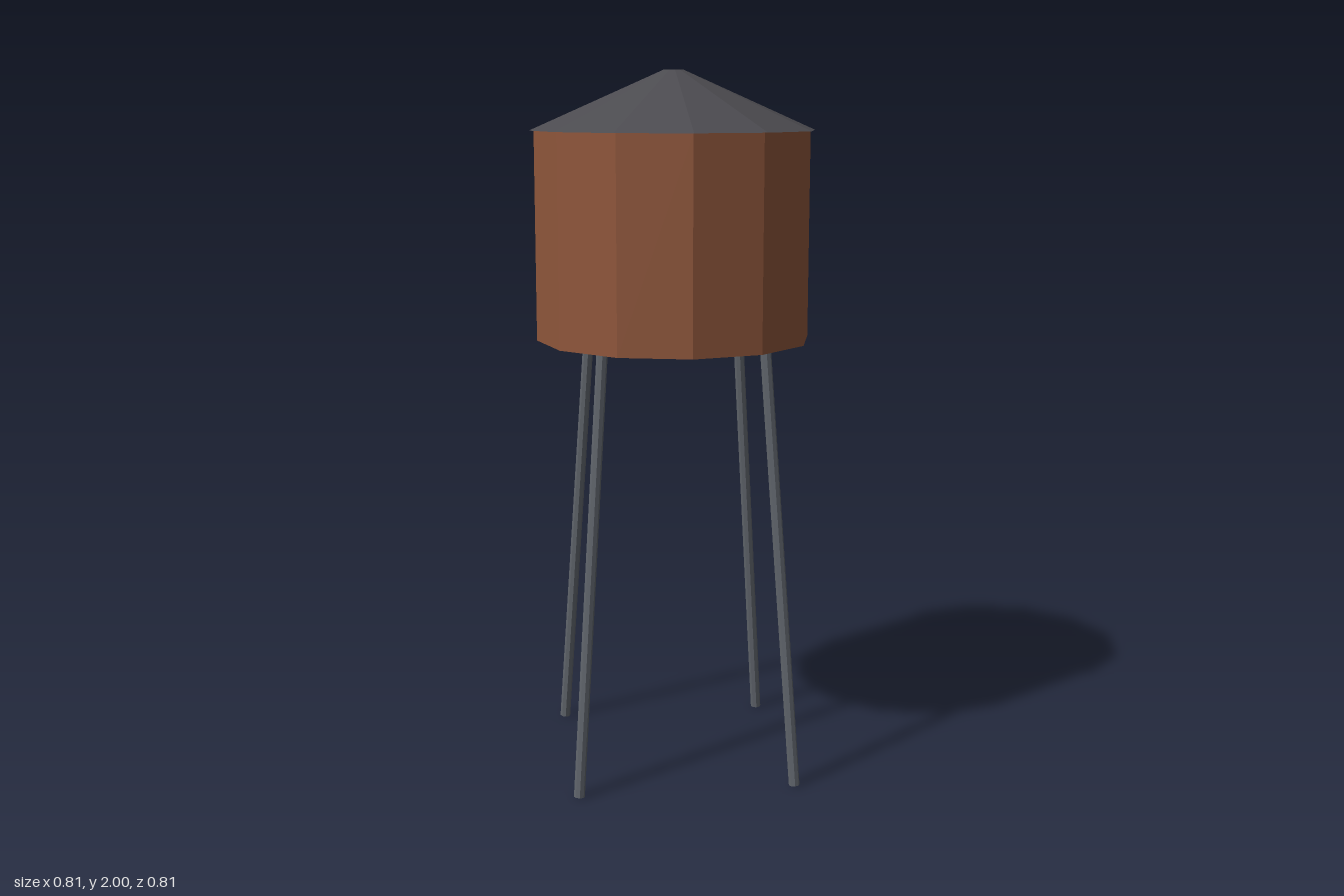
import * as THREE from 'three';

const flat = (name, color) => {
  const m = new THREE.MeshStandardMaterial({ color, flatShading: true });
  m.name = name;
  return m;
};

export function createModel() {
  const wood = flat('wood brown', 0x8f563b);
  const roofGrey = flat('roof grey', 0x4c4b50);
  const steel = flat('steel grey', 0x5f646b);

  const model = new THREE.Group();
  model.name = 'waterTower';

  const add = (name, geometry, material, y) => {
    const mesh = new THREE.Mesh(geometry, material);
    mesh.name = name;
    mesh.position.y = y;
    model.add(mesh);
    return mesh;
  };

  // Twelve-sided tank and its shallow, slightly overhanging roof
  const base = 1.25, eave = 1.835, top = 2;
  add('tank', new THREE.CylinderGeometry(0.39, 0.39, eave - base, 12), wood, (base + eave) / 2);
  add('roof', new THREE.CylinderGeometry(0.028, 0.403, top - eave, 12), roofGrey, (eave + top) / 2);

  // Four legs splayed out along the diagonals
  const up = new THREE.Vector3(0, 1, 0);
  for (const [side, sx] of [['Left', 1], ['Right', -1]]) {
    for (const [end, sz] of [['front', 1], ['back', -1]]) {
      const foot = new THREE.Vector3(0.307 * sx, 0.001, 0.307 * sz);
      const head = new THREE.Vector3(0.224 * sx, base + 0.01, 0.224 * sz);
      const axis = head.clone().sub(foot);
      const leg = add(end + side + 'Leg', new THREE.CylinderGeometry(0.0155, 0.0155, axis.length(), 8), steel, 0);
      leg.position.copy(foot).add(head).multiplyScalar(0.5);
      leg.quaternion.setFromUnitVectors(up, axis.normalize());
    }
  }
  return model;
}
